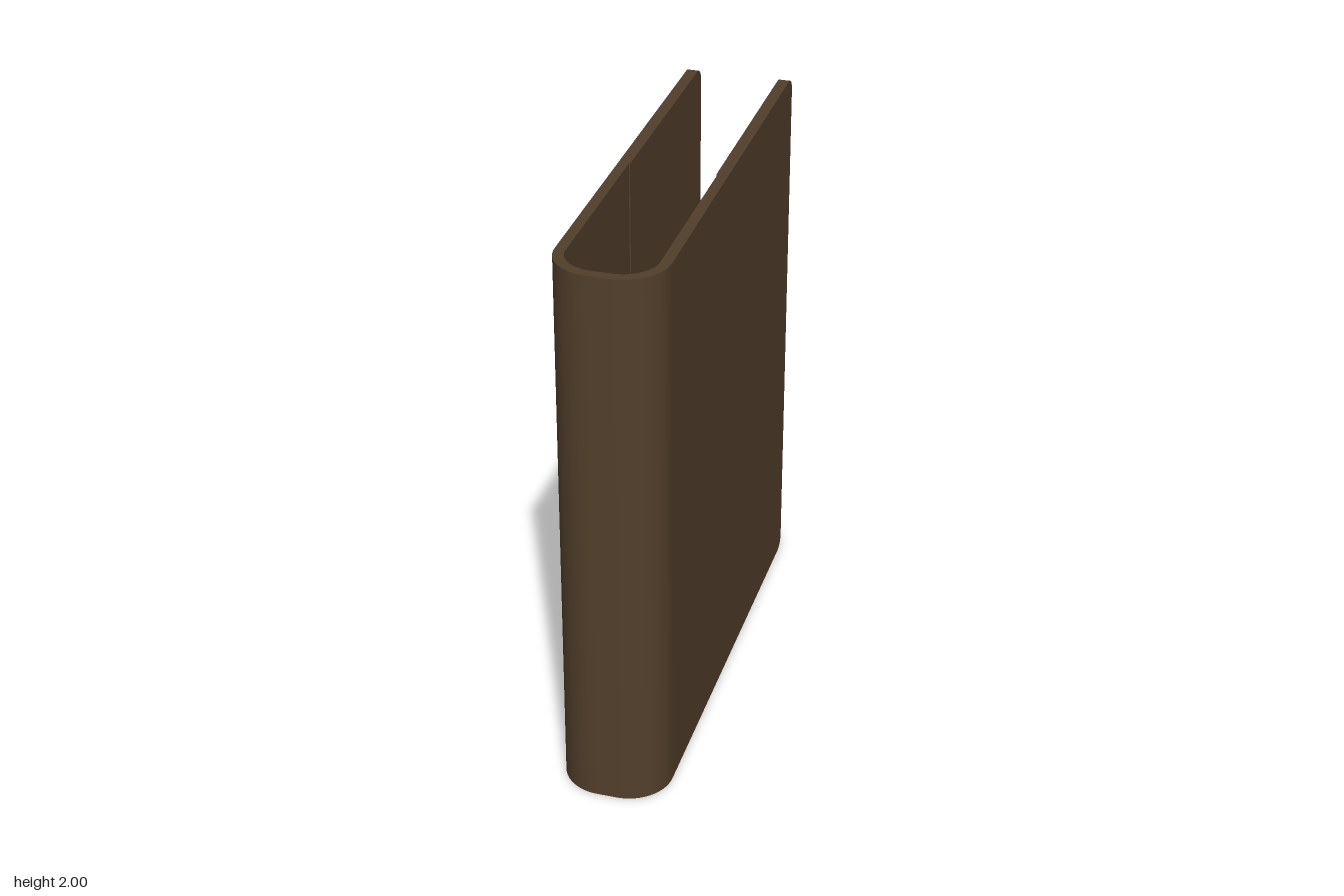
import * as THREE from 'three';
import { toCreasedNormals } from 'three/addons/utils/BufferGeometryUtils.js';

const HEIGHT = 2, HALF_W = 0.19, HALF_D = 0.85;
const BOARD_T = 0.041, SPINE_T = 0.037; // boards are slightly thicker than the spine wrap
const SEAM_Z = 0.03, CORNER = 0.05, BEND = 0.155;

function extrude(shape, depth) {
  return new THREE.ExtrudeGeometry(shape, { depth, bevelEnabled: false, curveSegments: 20 });
}

// U-shaped wrap seen from above (shape y is -z): rounded spine with both hinges
function spineGeometry() {
  const s = new THREE.Shape();
  const inner = HALF_W - SPINE_T, r = BEND - SPINE_T;
  const cx = HALF_W - BEND, cy = -HALF_D + BEND;
  s.moveTo(-HALF_W, -SEAM_Z);
  s.lineTo(-HALF_W, cy);
  s.absarc(-cx, cy, BEND, Math.PI, Math.PI * 1.5, false);
  s.absarc(cx, cy, BEND, Math.PI * 1.5, Math.PI * 2, false);
  s.lineTo(HALF_W, -SEAM_Z);
  s.lineTo(inner, -SEAM_Z);
  s.lineTo(inner, cy);
  s.absarc(cx, cy, r, Math.PI * 2, Math.PI * 1.5, true);
  s.absarc(-cx, cy, r, Math.PI * 1.5, Math.PI, true);
  s.lineTo(-inner, -SEAM_Z);
  s.closePath();
  return toCreasedNormals(extrude(s, HEIGHT).rotateX(-Math.PI / 2), 0.5);
}

// Flat board seen from the side (shape x is z): rear corners rounded
function boardGeometry() {
  const s = new THREE.Shape();
  s.moveTo(SEAM_Z, 0);
  s.lineTo(SEAM_Z, HEIGHT);
  s.lineTo(-HALF_D + CORNER, HEIGHT);
  s.absarc(-HALF_D + CORNER, HEIGHT - CORNER, CORNER, Math.PI / 2, Math.PI, false);
  s.lineTo(-HALF_D, CORNER);
  s.absarc(-HALF_D + CORNER, CORNER, CORNER, Math.PI, Math.PI * 1.5, false);
  s.closePath();
  const g = extrude(s, BOARD_T).rotateY(-Math.PI / 2).translate(BOARD_T / 2, 0, 0);
  return toCreasedNormals(g, 0.5);
}

export function createModel() {
  const group = new THREE.Group();
  group.name = 'bookCover';
  const material = new THREE.MeshStandardMaterial({ color: 0x523f2b });

  const spine = new THREE.Mesh(spineGeometry(), material);
  spine.name = 'spine';
  group.add(spine);

  const board = boardGeometry();
  for (const [name, side] of [['leftBoard', 1], ['rightBoard', -1]]) {
    const mesh = new THREE.Mesh(board, material);
    mesh.name = name;
    mesh.position.x = side * (HALF_W - BOARD_T / 2);
    group.add(mesh);
  }
  return group;
}
